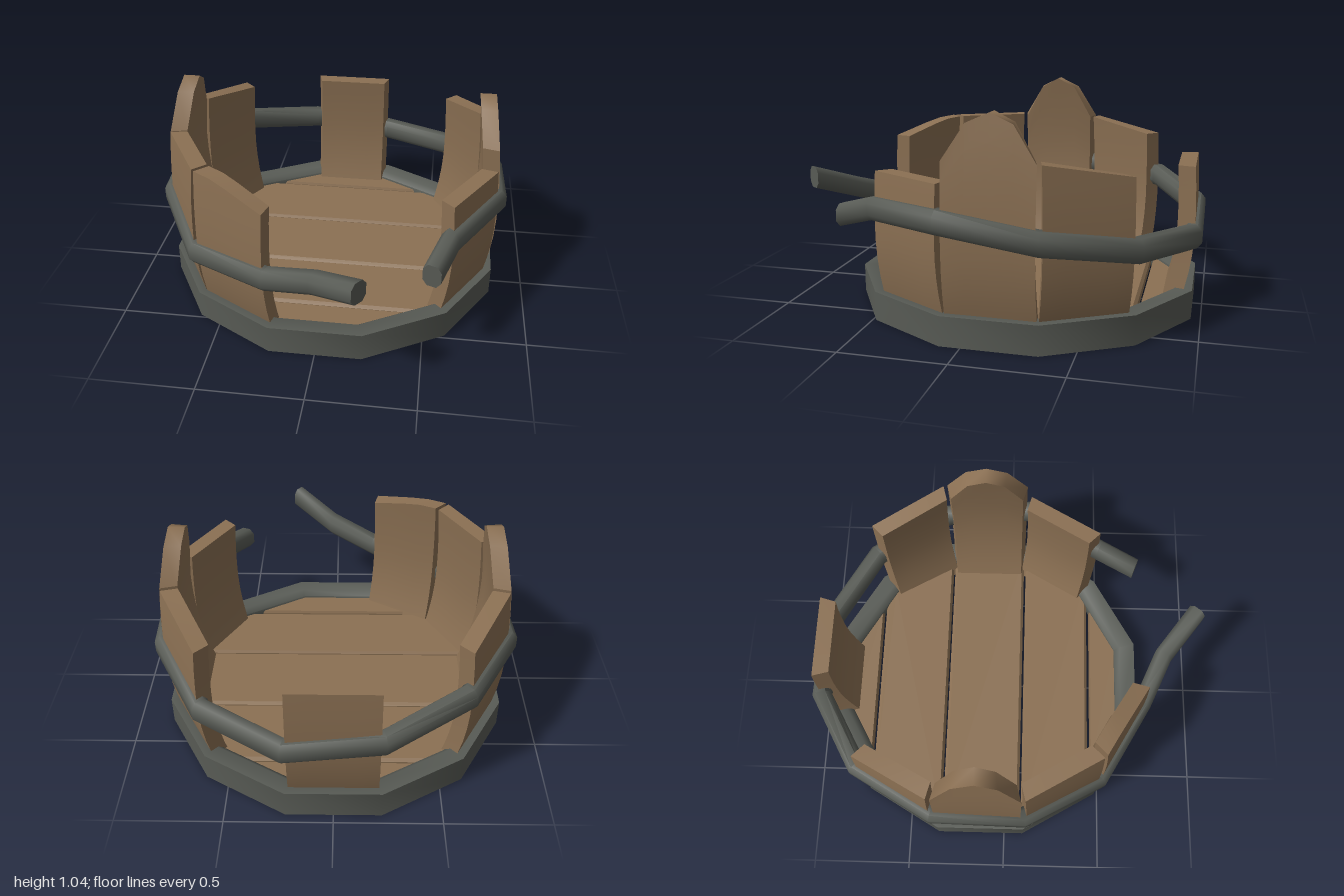
import * as THREE from 'three';
import { toCreasedNormals } from 'three/addons/utils/BufferGeometryUtils.js';

const CENTRE_Z = -0.125;
const rad = THREE.MathUtils.degToRad;
const C15 = Math.cos(rad(15));

// Corner of the twelve-sided barrel; angles run from +z towards +x
function corner(deg, apothem, y) {
  const r = apothem / C15;
  return new THREE.Vector3(Math.sin(rad(deg)) * r, y, Math.cos(rad(deg)) * r);
}

// Sweeps an [outward, up] section along a path with mitred joints
function sweep(path, section, closed) {
  const n = path.length, m = section.length, pos = [], index = [];
  const side = (a, b) => new THREE.Vector2(-(b.z - a.z), b.x - a.x).normalize();
  path.forEach((p, i) => {
    const prev = closed ? path[(i + n - 1) % n] : path[i - 1];
    const next = closed ? path[(i + 1) % n] : path[i + 1];
    const n1 = prev ? side(prev, p) : side(p, next);
    const n2 = next ? side(p, next) : n1;
    const out = n1.clone().add(n2).divideScalar(1 + n1.dot(n2));
    section.forEach(([o, u]) => pos.push(p.x + out.x * o, p.y + u, p.z + out.y * o));
  });
  for (let i = 0; i < (closed ? n : n - 1); i++) {
    for (let j = 0; j < m; j++) {
      const k = (j + 1) % m, i2 = (i + 1) % n;
      const a = i * m + j, b = i * m + k, c = i2 * m + j, d = i2 * m + k;
      index.push(a, c, b, b, c, d);
    }
  }
  if (!closed) {
    const e = (n - 1) * m;
    for (let j = 1; j < m - 1; j++) index.push(0, j, j + 1, e, e + j + 1, e + j);
  }
  const geo = new THREE.BufferGeometry();
  geo.setAttribute('position', new THREE.Float32BufferAttribute(pos, 3));
  geo.setIndex(index);
  return toCreasedNormals(geo, 0.9);
}

// Bowed stave; tops lists five heights across its width
function staveGeometry(tops, footExtra) {
  const geo = new THREE.BoxGeometry(2, 1, 1, 4, 8, 1);
  const p = geo.attributes.position;
  const foot = 0.05;
  for (let i = 0; i < p.count; i++) {
    const u = p.getX(i), t = p.getY(i) + 0.5, outer = p.getZ(i) > 0;
    const y = foot + t * (tops[Math.round((u + 1) * 2)] - foot);
    const d = y - 0.45;
    const r = 0.83 - (d < 0 ? 0.4 : 0.14) * d * d;
    const thick = 0.08 + footExtra * Math.max(0, 1 - y / 0.6);
    p.setXYZ(i, u * (outer ? 0.207 : 0.185), y, outer ? r : r - thick);
  }
  geo.computeVertexNormals();
  return geo;
}

// Floor plank between two z values, cut to the twelve-sided outline
function plankGeometry(z1, z2) {
  const A = 0.735, bevel = 0.014;
  const corners = [15, 45, 75, 105, 135, 165].map((a) => corner(a, A, 0));
  const halfWidth = (z) => {
    for (let i = 0; i < 5; i++) {
      const a = corners[i], b = corners[i + 1];
      if (z <= a.z && z >= b.z) return a.x + (b.x - a.x) * (a.z - z) / (a.z - b.z);
    }
    return corners[0].x;
  };
  const lo = Math.max(z1 + bevel, -A + 0.001), hi = Math.min(z2 - bevel, A - 0.001);
  const zs = [lo, ...corners.map((c) => c.z).filter((z) => z > lo + 0.01 && z < hi - 0.01).reverse(), hi];
  const right = zs.map((z) => new THREE.Vector2(halfWidth(z), -z));
  const left = right.map((v) => new THREE.Vector2(-v.x, v.y)).reverse();
  const geo = new THREE.ExtrudeGeometry(new THREE.Shape([...right, ...left]), {
    depth: 0.04, bevelEnabled: true, bevelSize: bevel, bevelThickness: 0.014, bevelSegments: 1,
  });
  geo.rotateX(-Math.PI / 2);
  return geo;
}

export function createModel() {
  const wood = new THREE.MeshStandardMaterial({ color: 0x8b7053 });
  wood.name = 'wood';
  const iron = new THREE.MeshStandardMaterial({ color: 0x585b55 });
  iron.name = 'iron';

  const model = new THREE.Group();
  model.name = 'brokenBarrel';
  const barrel = new THREE.Group();
  barrel.name = 'barrel';
  barrel.position.z = CENTRE_Z;
  model.add(barrel);
  const add = (name, geo, mat, parent = barrel) => {
    const mesh = new THREE.Mesh(geo, mat);
    mesh.name = name;
    parent.add(mesh);
    return mesh;
  };

  // Base hoop
  const ring = [];
  for (let a = 15; a < 375; a += 30) ring.push(corner(a, 0.83, 0));
  add('baseHoop', sweep(ring, [
    [-0.05, 0], [0, 0], [0, 0.14], [-0.08, 0.14], [-0.11, 0.115], [-0.11, 0.05],
  ], true), iron);

  // Floor planks
  const floor = new THREE.Group();
  floor.name = 'floor';
  barrel.add(floor);
  const seams = [-0.74, -0.59, -0.205, 0.205, 0.57, 0.74];
  for (let i = 0; i < seams.length - 1; i++) {
    add('floorPlank', plankGeometry(seams[i] + 0.003, seams[i + 1] - 0.003), wood, floor)
      .position.y = 0.05;
  }

  // Staves: name, angle, heights across the top, extra thickness at the foot
  const flat = (h) => [h, h, h, h, h];
  const slope = (a, b) => [0, 1, 2, 3, 4].map((i) => a + (b - a) * i / 4);
  [
    ['backStave', 180, flat(0.73), 0.01],
    ['backLeftStave', 120, slope(0.82, 0.75), 0],
    ['leftPointedStave', 90, [0.82, 0.98, 1.025, 0.98, 0.82], 0.05],
    ['frontLeftStave', 60, flat(0.72), 0],
    ['backRightStave', 240, slope(0.76, 0.82), 0],
    ['rightPointedStave', 270, [0.82, 0.99, 1.04, 0.99, 0.82], 0.05],
    ['rightFrontStave', 300, flat(0.825), 0],
    ['frontRightStave', 330, [0.825, 0.82, 0.8, 0.775, 0.75], 0],
  ].forEach(([name, angle, tops, extra]) => {
    add(name, staveGeometry(tops, extra), wood).rotation.y = rad(angle);
  });

  // Bent upper hoop, snapped open at the front
  const heights = [0.545, 0.56, 0.495, 0.43, 0.405, 0.46, 0.525, 0.54, 0.475, 0.385, 0.42];
  const path = [
    new THREE.Vector3(0.525, 0.485, 0.67 - CENTRE_Z),
    ...heights.map((y, i) => corner(45 + 30 * i, 0.82, y)),
    new THREE.Vector3(0.02, 0.5, 0.8 - CENTRE_Z),
    new THREE.Vector3(0.23, 0.59, 0.965 - CENTRE_Z),
  ];
  const w = 0.045, h = 0.055;
  add('upperHoop', sweep(path, [
    [-w * 0.5, -h], [w * 0.5, -h], [w, -h * 0.5], [w, h * 0.5],
    [w * 0.5, h], [-w * 0.5, h], [-w, h * 0.5], [-w, -h * 0.5],
  ], false), iron);

  return model;
}
